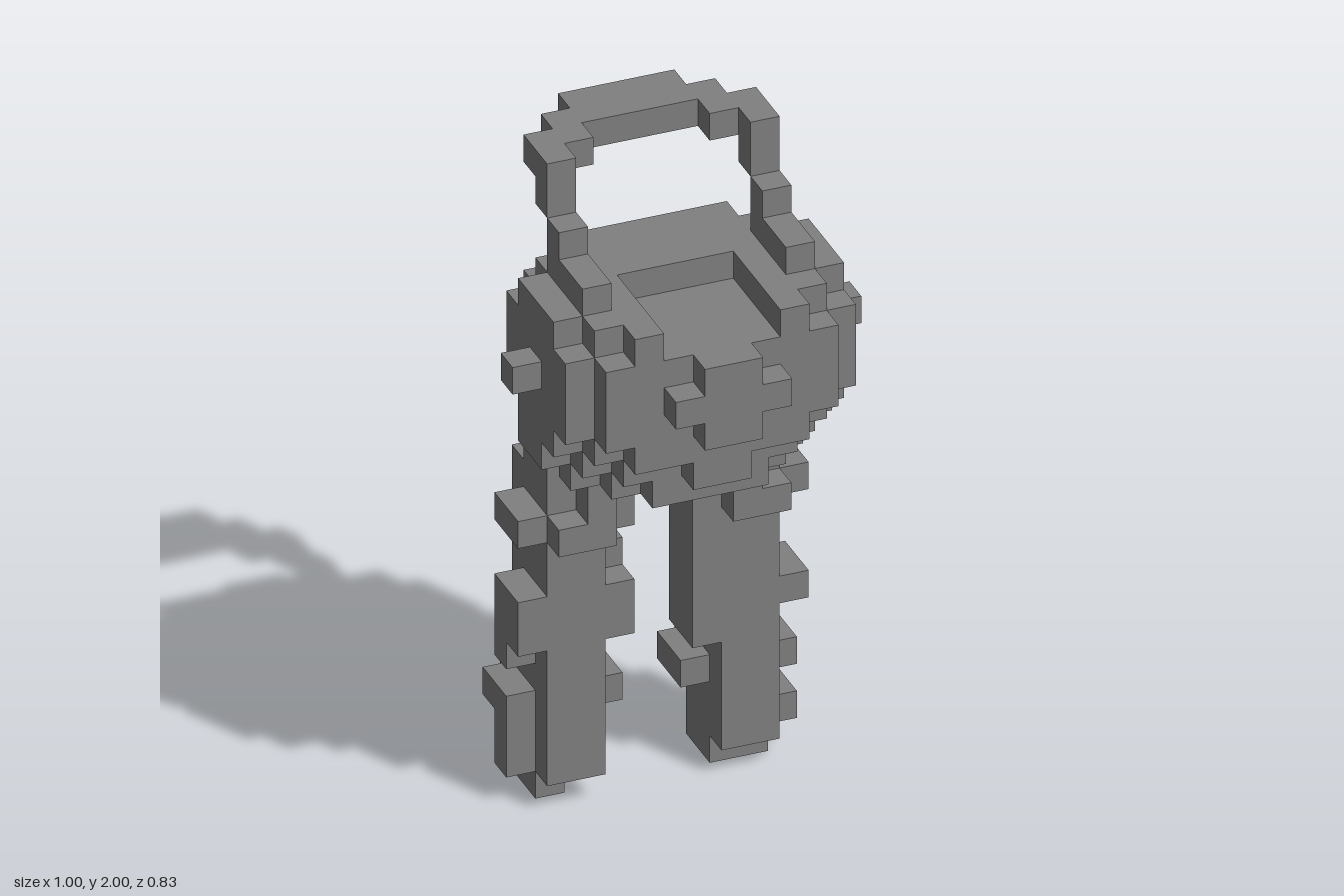
import * as THREE from 'three';

const U = 1 / 12; // size of one cube

// Boxes are [x0, x1, y0, y1, z0, z1] in cubes.
const mirror = (b) => [-b[1], -b[0], b[2], b[3], b[4], b[5]];
const bothSides = (list) => list.flatMap((b) => [b, mirror(b)]);

// Rounded body: each layer is a set of crossing slabs, with a shallow tray in the top
const body = [
  [-5, 5, 19, 20, -1, 0], [-4, 4, 19, 20, -2, 0], [-3, 3, 19, 20, -3, 0],
  ...bothSides([[2, 5, 19, 20, 0, 2], [2, 4, 19, 20, 2, 3], [2, 3, 19, 20, 3, 4]]),
  [-5, 5, 16, 19, -2, 3], [-4, 4, 16, 19, -3, 4],
  [-5, 5, 15, 16, -1, 2], [-4, 4, 15, 16, -2, 3], [-3, 3, 15, 16, -3, 4],
  [-5, 5, 14, 15, -1, 1], [-4, 4, 14, 15, -1, 2], [-3, 3, 14, 15, -2, 3], [-1, 1, 14, 15, -3, 4],
  [-4, 4, 13, 14, 0, 1], [-3, 3, 13, 14, -1, 2], [-2, 2, 13, 14, -2, 3],
];

// Plus-shaped bosses on the front and back
const plus = (z0, z1) => [[-1, 1, 16, 19, z0, z1], [-2, 2, 17, 18, z0, z1]];

// Handle: two stepped posts joined by a curved bar
const handle = [
  ...bothSides([
    [3, 4, 20, 21, -1, 2], [3, 4, 21, 22, -1, 0], [3, 4, 22, 23, -2, -1],
    [3, 4, 23, 24, -3, -1], [2, 3, 23, 24, -4, -2],
  ]),
  [-2, 2, 23, 24, -5, -3],
];

// Hip, knee collar and ankle ring, shared by both legs
const legCommon = [
  [2, 4, 12, 14, -3, -1], [1, 4, 11, 13, -2, -1], [2, 3, 11, 13, -1, 0],
  [2, 3, 14, 15, -4, -3], [2, 4, 11, 12, -3, -1],
  [2, 4, 10, 11, -4, 0], [1, 5, 10, 11, -3, -1],
  [1, 5, 3, 4, -4, -2], [2, 4, 3, 4, -5, -1],
];

const leftLeg = [
  ...legCommon,
  [2, 4, 2, 10, -3, -1], [3, 4, 4, 12, -4, -3], [1, 2, 5, 10, -3, -1],
  [4, 5, 6, 7, -3, -1],
  [2, 4, 1, 3, -4, -1], [4, 5, 1, 2, -4, -2], [3, 4, 1, 2, -5, -4],
  [2, 4, 0, 1, -4, -2],
];

const rightLeg = [
  ...legCommon.map(mirror),
  [-4, -2, 4, 9, -4, -1], [-4, -2, 9, 10, -3, -1],
  [-2, -1, 8, 9, -3, -2], [-2, -1, 6, 8, -3, -1],
  [-5, -4, 6, 8, -3, -1], [-5, -4, 5, 6, -3, -2], [-4, -3, 11, 12, -4, -3],
  [-4, -2, 1, 3, -4, -1], [-5, -4, 1, 3, -3, -2], [-4, -3, 1, 2, -5, -4],
  [-4, -3, 0, 1, -4, -2],
];

const parts = {
  body,
  frontBoss: plus(4, 5),
  backBoss: plus(-4, -3),
  sideKnobs: bothSides([[5, 6, 17, 18, 0, 1]]),
  handle,
  leftLeg,
  rightLeg,
};

export function createModel() {
  const grey = new THREE.MeshStandardMaterial({ color: 0x808080 });
  grey.name = 'grey';
  const model = new THREE.Group();

  // Give every cube to the first part that fills it
  const owner = new Map();
  for (const [name, boxes] of Object.entries(parts)) {
    for (const [x0, x1, y0, y1, z0, z1] of boxes) {
      for (let x = x0; x < x1; x++)
        for (let y = y0; y < y1; y++)
          for (let z = z0; z < z1; z++) {
            const key = `${x},${y},${z}`;
            if (!owner.has(key)) owner.set(key, { name, cell: [x, y, z] });
          }
    }
  }

  // Emit only the exposed square faces of each cube
  const positions = {};
  const normals = {};
  for (const name in parts) { positions[name] = []; normals[name] = []; }
  for (const { name, cell } of owner.values()) {
    for (let axis = 0; axis < 3; axis++) {
      for (const side of [1, -1]) {
        const next = cell.slice();
        next[axis] += side;
        if (owner.has(next.join())) continue;
        const a = (axis + 1) % 3, b = (axis + 2) % 3;
        const corner = (i, j) => {
          const p = cell.slice();
          if (side > 0) p[axis] += 1;
          p[a] += i;
          p[b] += j;
          return p.map((v) => v * U);
        };
        const quad = [corner(0, 0), corner(1, 0), corner(1, 1), corner(0, 1)];
        if (side < 0) quad.reverse();
        const n = [0, 0, 0];
        n[axis] = side;
        for (const k of [0, 1, 2, 0, 2, 3]) {
          positions[name].push(...quad[k]);
          normals[name].push(...n);
        }
      }
    }
  }

  for (const name in parts) {
    const geometry = new THREE.BufferGeometry();
    geometry.setAttribute('position', new THREE.Float32BufferAttribute(positions[name], 3));
    geometry.setAttribute('normal', new THREE.Float32BufferAttribute(normals[name], 3));
    const mesh = new THREE.Mesh(geometry, grey);
    mesh.name = name;
    model.add(mesh);
  }
  return model;
}
